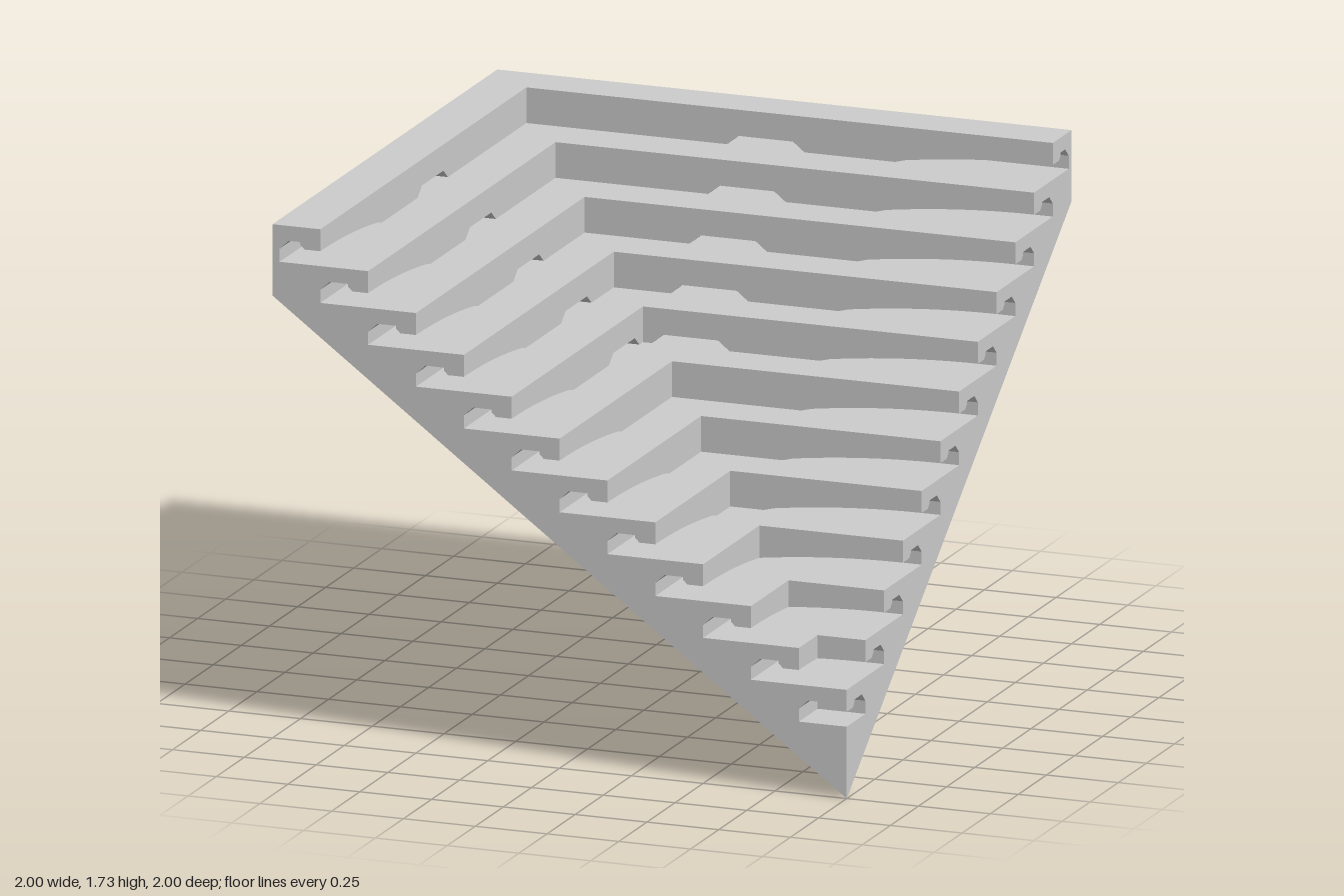
import * as THREE from 'three';
import { toCreasedNormals } from 'three/addons/utils/BufferGeometryUtils.js';

const LEVELS = 12, RUN = 1 / 6, RISE = 0.124, TOP = 1.73, RIM = 1.49;
const SLOPE = RIM / 2;
const material = new THREE.MeshStandardMaterial({ color: 0xcccccc, side: THREE.DoubleSide });

function mesh(name, geometry) {
  const m = new THREE.Mesh(geometry, material);
  m.name = name;
  return m;
}

// Skin between rows of points; collapsed triangles are dropped
function skin(rows) {
  const pos = [];
  const tri = (a, b, c) => {
    const area = b.clone().sub(a).cross(c.clone().sub(a)).length();
    if (area > 1e-8) for (const p of [a, b, c]) pos.push(p.x, p.y, p.z);
  };
  for (let i = 0; i + 1 < rows.length; i++) {
    for (let j = 0; j + 1 < rows[i].length; j++) {
      const a = rows[i][j], b = rows[i][j + 1], c = rows[i + 1][j], d = rows[i + 1][j + 1];
      tri(a, b, c);
      tri(b, d, c);
    }
  }
  const g = new THREE.BufferGeometry();
  g.setAttribute('position', new THREE.Float32BufferAttribute(pos, 3));
  return toCreasedNormals(g, 0.4);
}

// Clearance under the hanging lip: a notch mid-way and an arch towards the end
function lipGap(s, nose) {
  if (s > 0.45) {
    const t = (s - 0.45) / 0.55;
    return 0.008 + 0.042 * (1 - (1 - t) ** 2);
  }
  if (nose < -0.15) return THREE.MathUtils.clamp(0.004 + (0.135 - Math.abs(s)) * 0.8, 0.004, 0.036);
  return 0.004;
}

// Stepped profile at station s, as points mitred along the corner diagonal
function stepRow(s) {
  const row = [];
  const add = (d, y) => row.push(new THREE.Vector3(Math.max(s, d), y, d));
  for (let k = 0; k < LEVELS; k++) {
    const a = -1 + k * RUN, b = a + RUN, t = TOP - k * RISE, f = t - RISE;
    const back = k === 0 ? -0.975 : a;
    const gap = (d) => f + lipGap(Math.max(s, d), b);
    add(a, t);
    add(b, t);
    add(b, gap(b));
    add(b - 0.055, gap(b - 0.055));
    add(b - 0.07, gap(b - 0.07) + 0.015);
    add(b - 0.07, t - 0.05);
    add(back + 0.032, t - 0.05);
    add(back, t - 0.08);
    add(back, f);
    add(b, f);
  }
  return row;
}

// Sloped underside with a central wedge and a rounded pocket at each side of it
function underside() {
  const cuts = [{ d: 1, w: 0.3 }, { d: -0.32, w: 0.3 }];
  for (let i = 0; i <= 10; i++) {
    const q = (i / 10) * Math.PI / 2;
    cuts.push({ d: -1 + 0.45 * Math.cos(q), w: 0.3 + 0.27 * Math.sin(q) });
  }
  const base = (d) => SLOPE * (1 - d);
  const pocket = (d) => base(d) + Math.max(0, -0.55 - d) * 0.1;
  const wedge = (d) => base(d) - Math.max(0, -0.32 - d) * 0.103;
  const stations = [
    [() => -1, base], [(w) => -w, base], [(w) => -w, pocket], [() => -0.3, pocket], [() => -0.3, wedge],
    [() => 0.3, wedge], [() => 0.3, pocket], [(w) => w, pocket], [(w) => w, base], [() => 1, base],
  ];
  return skin(stations.map(([s, y]) =>
    cuts.map(({ d, w }) => new THREE.Vector3(Math.max(s(w), d), y(d), d))));
}

const polygon = (pts) => pts.map(([x, y]) => new THREE.Vector2(x, y));

// One leg of the corner, running along x at the back
function createLeg(name) {
  const leg = new THREE.Group();
  leg.name = name;

  const stations = [-1, -0.135, -0.095, 0.095, 0.135, 0.45];
  for (let i = 1; i <= 16; i++) stations.push(0.45 + 0.55 * i / 16);
  leg.add(mesh('steps', skin(stations.map(stepRow))));
  leg.add(mesh('underside', underside()));

  // End face cut through the steps
  const outline = stepRow(1).map((p) => new THREE.Vector2(-p.z, p.y));
  outline.push(...polygon([[-1, 0], [1, RIM]]));
  const end = new THREE.ShapeGeometry(new THREE.Shape(outline));
  end.rotateY(Math.PI / 2).translate(1, 0, 0);
  leg.add(mesh('endFace', end));

  // Outer wall with a sunken trapezoid panel
  const half = [[0.3, 1.42], [0.3, 1.535], [0.57, 1.535], [0.57, RIM], [1, RIM], [1, TOP]];
  const mirrored = half.map(([x, y]) => [-x, y]).reverse();
  const wall = new THREE.Shape(polygon([...half, ...mirrored]));
  const panel = polygon([[-0.2, 1.47], [0.2, 1.47], [0.225, 1.485], [0.295, 1.67], [0.28, 1.69],
    [-0.28, 1.69], [-0.295, 1.67], [-0.225, 1.485]]);
  wall.holes.push(new THREE.Path(panel));
  const wallGeo = new THREE.ExtrudeGeometry(wall, { depth: 0.02, bevelEnabled: false });
  leg.add(mesh('outerWall', wallGeo.translate(0, 0, -1)));

  const plate = new THREE.ShapeGeometry(new THREE.Shape(panel));
  leg.add(mesh('sunkenPanel', plate.rotateY(Math.PI).translate(0, 0, -0.981)));
  return leg;
}

export function createModel() {
  const model = new THREE.Group();
  model.name = 'steppedCorner';
  model.add(createLeg('backLeg'));

  // The second leg is the first with x and z exchanged
  const side = createLeg('rightLeg');
  side.scale.x = -1;
  side.rotation.y = Math.PI / 2;
  model.add(side);
  return model;
}
